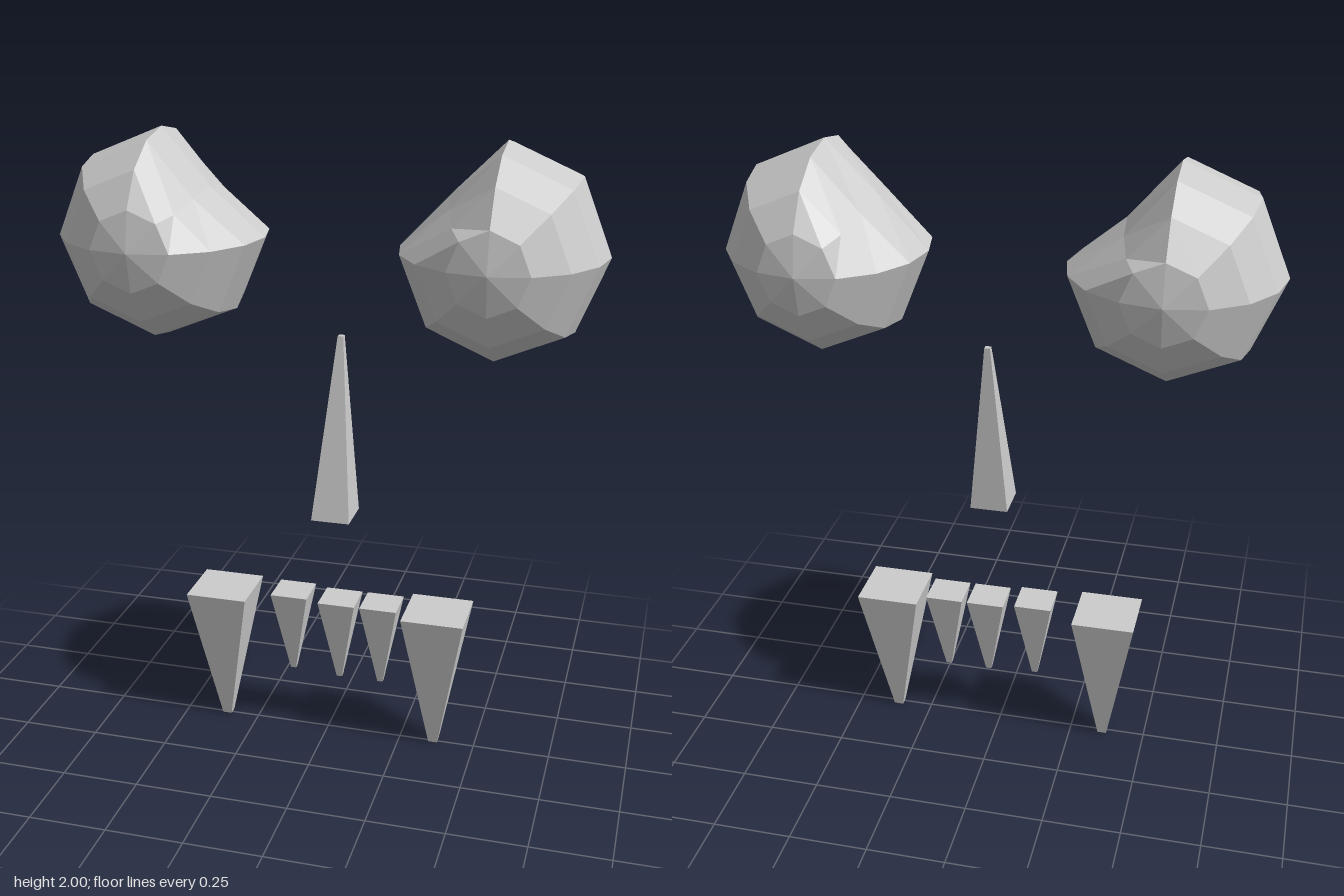
import * as THREE from 'three';

const material = new THREE.MeshStandardMaterial({ color: 0xcccccc, flatShading: true });

// Box whose ends differ: each end is { x, y, z, w, d } (centre and width / depth).
function taperedBlock(name, bottom, top) {
  const geometry = new THREE.BoxGeometry(1, 1, 1);
  const p = geometry.attributes.position;
  for (let i = 0; i < p.count; i++) {
    const end = p.getY(i) > 0 ? top : bottom;
    p.setXYZ(i, end.x + p.getX(i) * end.w, end.y, end.z + p.getZ(i) * end.d);
  }
  geometry.computeVertexNormals();
  const mesh = new THREE.Mesh(geometry, material);
  mesh.name = name;
  return mesh;
}

// Low-poly ball with poles on z; its upper inner meridian is pushed in.
// dent lists the [x, y] offsets of that meridian from the equator to the poles.
function eye(name, x, rx, inner, dent) {
  const r = 0.322;
  const geometry = new THREE.SphereGeometry(r, 8, 8);
  geometry.rotateX(Math.PI / 2);
  const p = geometry.attributes.position;
  for (let i = 0; i < p.count; i++) {
    const px = p.getX(i) * inner, py = p.getY(i);
    if (px > 0.01 && Math.abs(px - py) < 0.01) {
      const ring = Math.round(Math.asin(Math.abs(p.getZ(i)) / r) / (Math.PI / 8));
      if (dent[ring]) p.setXY(i, dent[ring][0] * inner, dent[ring][1]);
    }
  }
  geometry.scale(rx / r, 1, 1);
  geometry.computeVertexNormals();
  const mesh = new THREE.Mesh(geometry, material);
  mesh.name = name;
  mesh.position.set(x, 1.678, 0);
  return mesh;
}

export function createModel() {
  const model = new THREE.Group();
  model.name = 'face';

  // Eyes
  model.add(
    eye('rightEye', -0.521, 0.322, 1, [[0.15, 0.148], [0.14, 0.13], [0.117, 0.102]]),
    eye('leftEye', 0.53, 0.31, -1, [[0.165, 0.163], [0.15, 0.138], [0.122, 0.108]])
  );

  // Nose: upright at the back, sloping at the front
  model.add(taperedBlock('nose',
    { x: 0.039, y: 0.815, z: 0.062, w: 0.122, d: 0.132 },
    { x: 0.039, y: 1.385, z: -0.006, w: 0.018, d: 0.018 }));

  // Teeth: [name, x, bottom y, top y, top width, tip width]
  const teeth = [
    ['rightFang', -0.36, 0, 0.483, 0.202, 0.03],
    ['rightTooth', -0.121, 0.21, 0.498, 0.122, 0.018],
    ['middleTooth', 0.039, 0.2, 0.489, 0.122, 0.018],
    ['leftTooth', 0.179, 0.2, 0.489, 0.122, 0.018],
    ['leftFang', 0.364, 0, 0.483, 0.202, 0.03],
  ];
  for (const [name, x, y0, y1, wide, tip] of teeth) {
    model.add(taperedBlock(name,
      { x, y: y0, z: -0.005, w: tip, d: tip },
      { x, y: y1, z: -0.005, w: wide, d: wide }));
  }
  return model;
}
